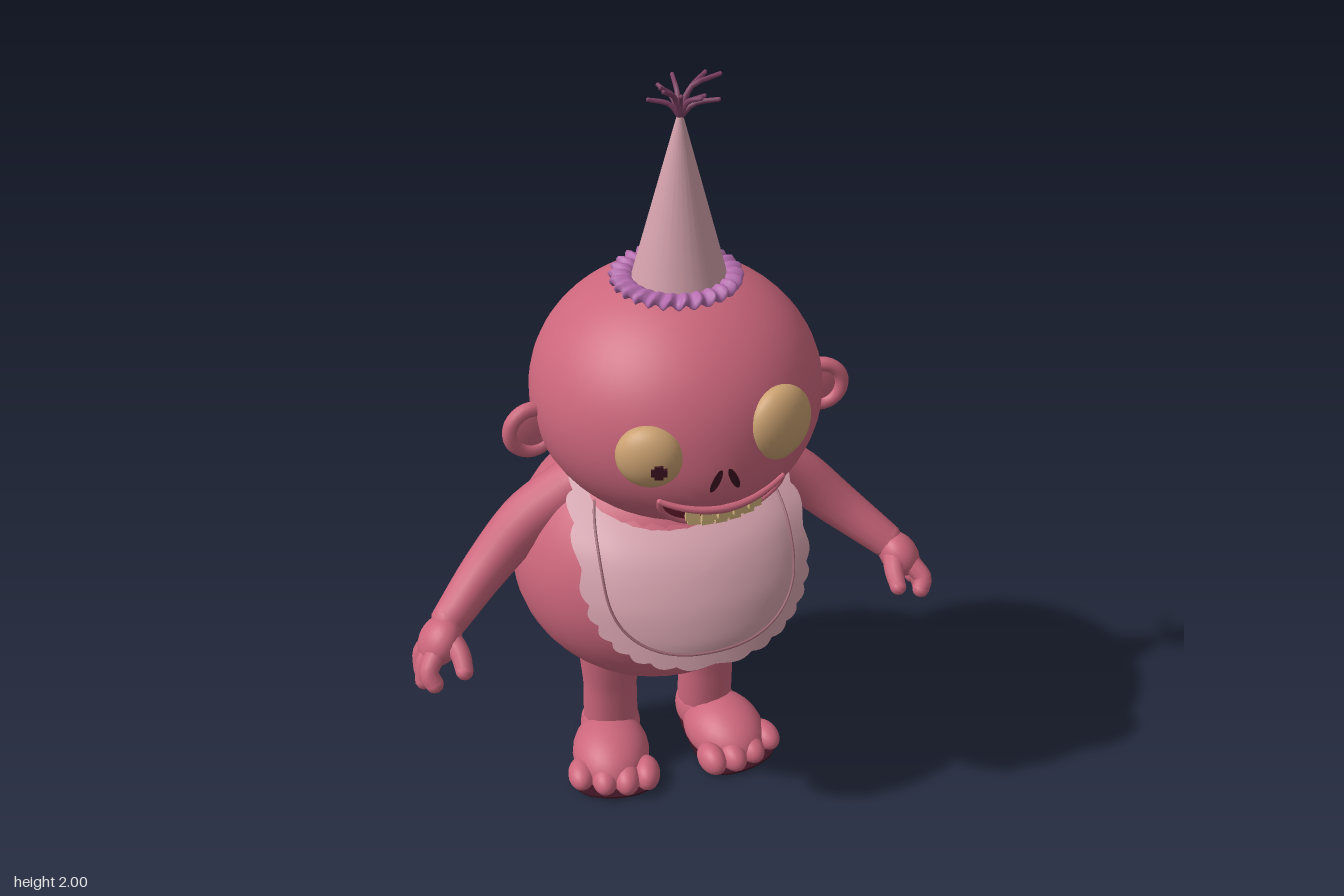
import * as THREE from 'three';
import { mergeVertices } from 'three/addons/utils/BufferGeometryUtils.js';

const mat = (name, color, side = THREE.FrontSide) => {
  const m = new THREE.MeshStandardMaterial({ color, side });
  m.name = name;
  return m;
};
const V = (p) => new THREE.Vector3(...p);

// Front surface of the head, with a slight muzzle bulge
const HEAD = { y: 1.243, z: 0.055, rx: 0.35, ry: 0.308, rz: 0.352 };
const bulge = (x, y) => 0.024 * Math.exp(-(x * x) / 0.03 - (y - 1.12) ** 2 / 0.012);
const headZ = (x, y) => {
  const k = 1 - (x / HEAD.rx) ** 2 - ((y - HEAD.y) / HEAD.ry) ** 2;
  return HEAD.z + HEAD.rz * Math.sqrt(Math.max(k, 0)) + bulge(x, y);
};

// Move every vertex by a rule that edits the vector in place
function warp(geo, rule) {
  const p = geo.attributes.position, v = new THREE.Vector3();
  for (let i = 0; i < p.count; i++) {
    v.fromBufferAttribute(p, i);
    rule(v, i);
    p.setXYZ(i, v.x, v.y, v.z);
  }
  geo.deleteAttribute('uv');
  geo.deleteAttribute('normal');
  const out = mergeVertices(geo, 1e-5);
  out.computeVertexNormals();
  return out;
}

export function createModel() {
  const root = new THREE.Group();
  root.name = 'partyCreature';
  const skin = mat('skinPink', 0xcc667c);
  const cloth = mat('palePink', 0xd3a0ab, THREE.DoubleSide);
  const seamMat = mat('seamPink', 0x9c6673);
  const purple = mat('rufflePurple', 0xb56cae);
  const plum = mat('tuftPlum', 0x7d3f63);
  const eyeMat = mat('eyeTan', 0xcaa070);
  const toothMat = mat('toothCream', 0xd6b67c);
  const mouthMat = mat('mouthRed', 0x7a2238, THREE.DoubleSide);
  const dark = mat('darkMaroon', 0x3c1220, THREE.DoubleSide);

  const add = (name, geo, m, parent = root) => {
    const mesh = new THREE.Mesh(geo, m);
    mesh.name = name;
    parent.add(mesh);
    return mesh;
  };
  const group = (name) => {
    const g = new THREE.Group();
    g.name = name;
    root.add(g);
    return g;
  };
  const ball = (name, pos, size, m, parent, seg = 24) => {
    const mesh = add(name, new THREE.SphereGeometry(1, seg, Math.ceil(seg * 0.7)), m, parent);
    mesh.position.set(...pos);
    mesh.scale.set(...size);
    return mesh;
  };
  // Tapered tube with rounded ends
  const limb = (name, pts, radii, m, parent, n = 16, sides = 14) => {
    const curve = new THREE.CatmullRomCurve3(pts.map(V));
    const geo = new THREE.TubeGeometry(curve, n, 1, sides);
    const mesh = add(name, warp(geo, (v, i) => {
      const t = Math.floor(i / (sides + 1)) / n;
      const f = t * (radii.length - 1), k = Math.min(Math.floor(f), radii.length - 2);
      const c = curve.getPointAt(t);
      v.sub(c).multiplyScalar(THREE.MathUtils.lerp(radii[k], radii[k + 1], f - k)).add(c);
    }), m, parent);
    for (const i of [0, pts.length - 1]) {
      const r = radii[i ? radii.length - 1 : 0];
      ball(name + 'End', pts[i], [r, r, r], m, parent, sides);
    }
    return mesh;
  };

  // Body and head
  ball('body', [-0.013, 0.69, -0.065], [0.383, 0.352, 0.355], skin, root, 40);
  ball('shoulders', [-0.01, 0.8, -0.07], [0.325, 0.265, 0.305], skin, root, 32);
  add('head', warp(new THREE.SphereGeometry(1, 48, 36), (v) => {
    v.set(v.x * HEAD.rx, v.y * HEAD.ry + HEAD.y, v.z * HEAD.rz + HEAD.z);
    if (v.z > HEAD.z) v.z += bulge(v.x, v.y);
  }), skin);

  // Eyes and the one small pupil
  for (const [name, x, y, r, ry] of [['rightEye', -0.152, 1.255, 0.078, 0.077], ['leftEye', 0.15, 1.285, 0.087, 0.093]]) {
    const e = ball(name, [x, y, headZ(x, y) - 0.016], [r, ry, 0.05], eyeMat, root, 28);
    e.rotation.y = Math.sign(x) * 0.35;
  }
  for (let i = 0; i < 2; i++) {
    const bar = add('pupil', new THREE.BoxGeometry(i ? 0.02 : 0.036, i ? 0.034 : 0.018, 0.009), dark);
    bar.position.set(-0.147, 1.243, headZ(-0.147, 1.243) + 0.034);
    bar.rotation.y = -0.3;
  }

  // Nostrils
  for (const s of [-1, 1]) {
    add('nostril', warp(new THREE.CircleGeometry(1, 16), (v) => {
      const y = v.y * 0.028;
      v.x = 0.004 + s * 0.021 + v.x * 0.01 - s * y * 0.4;
      v.y = 1.2 + y;
      v.z = headZ(v.x, v.y) + 0.004;
    }), dark);
  }

  // Grinning mouth: edges given by u from -1 to 1
  const mx = (u) => 0.015 + 0.15 * u;
  const top = (u) => 1.108 + 0.03 * u * u;
  const low = (u) => 1.138 - 0.1 * Math.sqrt(Math.max(0, 1 - u * u));
  add('mouth', warp(new THREE.PlaneGeometry(2, 1, 28, 6), (v) => {
    const u = v.x, t = v.y + 0.5;
    v.set(mx(u), THREE.MathUtils.lerp(low(u), Math.max(top(u), low(u)), t), 0);
    v.z = headZ(v.x, v.y) + 0.004;
  }), mouthMat);
  for (const [name, edge, off] of [['upperLip', top, 0.004], ['lowerLip', low, 0.004]]) {
    const pts = [];
    for (let i = 0; i <= 20; i++) {
      const u = -Math.cos(Math.PI * i / 20);
      pts.push([mx(u), edge(u), headZ(mx(u), edge(u)) + off]);
    }
    limb(name, pts, [0.007, 0.011, 0.007], skin, root, 40, 8);
  }
  const teeth = group('teeth');
  for (let row = 0; row < 2; row++) {
    for (let i = 0; i < 5; i++) {
      const u = (i - 2) * (row ? 0.22 : 0.25), x = mx(u);
      const y = row ? low(u) + 0.023 : top(u) - 0.018;
      const t = add('tooth', new THREE.BoxGeometry(row ? 0.029 : 0.033, 0.03, 0.02), toothMat, teeth);
      t.position.set(x, y, headZ(x, y) + 0.002);
      t.rotation.y = x * 2.5;
    }
  }

  // Bib: a scalloped panel draped over the chest
  const drape = new THREE.CatmullRomCurve3(
    [[0, 0.58, 0.372], [0, 0.7, 0.345], [0, 0.78, 0.318], [0, 0.88, 0.25], [0, 0.97, 0.11], [0, 1.03, 0.02]].map(V));
  const drapePts = drape.getPoints(60);
  const bibZ = (x, y) => {
    const i = drapePts.findIndex((p) => p.y >= y);
    if (i < 1) return drapePts[i < 0 ? 60 : 0].z - 1.15 * x * x;
    const a = drapePts[i - 1], b = drapePts[i];
    return THREE.MathUtils.lerp(a.z, b.z, (y - a.y) / (b.y - a.y)) - 1.15 * x * x;
  };
  const bibPoint = (a, r, size, off) => {
    const c = Math.cos(a), s = Math.sin(a), q = (k) => Math.sign(k) * Math.abs(k) ** 0.72;
    const x = 0.01 + r * size * 0.288 * q(c);
    const y = Math.min(1.0, 0.845 + r * size * 0.228 * q(s));
    return new THREE.Vector3(x, y, bibZ(x, y) + off);
  };
  const bib = group('bib');
  for (const [name, size, wave, off] of [['bibFrill', 1, 0.045, 0], ['bibPanel', 0.85, 0, 0.008]]) {
    add(name, warp(new THREE.RingGeometry(0.001, 1, 168, 12), (v) => {
      const a = Math.atan2(v.y, v.x), r = v.length();
      v.copy(bibPoint(a, r * (1 + wave * r ** 6 * Math.abs(Math.sin(a * 14))), size, off * (1 - r ** 8)));
    }), cloth, bib);
  }
  const seam = [];
  for (let i = 0; i <= 40; i++) seam.push(bibPoint(Math.PI * (0.84 + 1.32 * i / 40), 1, 0.85, 0.002));
  add('bibSeam', new THREE.TubeGeometry(new THREE.CatmullRomCurve3(seam), 80, 0.0035, 6), seamMat, bib);

  // Party hat: cone, gathered ruffle and tuft
  const hat = group('partyHat');
  const cone = add('hatCone', new THREE.CylinderGeometry(0.004, 0.115, 0.41, 32, 1, true), cloth, hat);
  cone.position.set(0.004, 1.725, 0.07);
  add('hatRuffle', warp(new THREE.TorusGeometry(0.125, 0.026, 10, 144).rotateX(Math.PI / 2), (v) => {
    const a = Math.atan2(v.z, v.x), r = Math.hypot(v.x, v.z), t = (r - 0.099) / 0.052;
    const k = 1 + 0.035 * t * Math.sin(a * 26);
    v.set(v.x * k - 0.003, 1.535 + v.y * 0.55 + 0.009 * t * Math.sin(a * 26 + 1), v.z * k + 0.065);
  }), purple, hat);
  for (let i = 0; i < 10; i++) {
    const a = i * 2.4, l = 0.055 + 0.014 * (i % 3), h = 0.035 + 0.012 * ((i * 3) % 4);
    const c = Math.cos(a) * l, s = Math.sin(a) * l;
    limb('tuftStrand', [[0.004, 1.915, 0.07], [0.004 + c * 0.35, 1.925 + h * 0.6, 0.07 + s * 0.35],
      [0.004 + c, 1.922 + h, 0.07 + s]], [0.007, 0.006, 0.005], plum, hat, 6, 6);
  }
  limb('tuftStrand', [[0.004, 1.915, 0.07], [0.03, 1.975, 0.06], [0.1, 1.995, 0.05]], [0.007, 0.005], plum, hat, 6, 6);

  for (const s of [-1, 1]) {
    const side = s > 0 ? 'left' : 'right';
    const M = (x, y, z) => [s * x, y, z];

    // Ear: disc with a rolled rim
    const ear = group(side + 'Ear');
    ball('earDisc', M(0.365, 1.195, 0.08), [0.06, 0.064, 0.014], skin, ear);
    const rim = add('earRim', new THREE.TorusGeometry(0.055, 0.018, 10, 28), skin, ear);
    rim.position.set(...M(0.36, 1.195, 0.083));
    rim.rotation.y = -s * 0.15;

    // Arm and hand
    const arm = group(side + 'Arm');
    limb('arm', [M(0.22, 0.945, -0.04), M(0.36, 0.85, -0.045), M(0.48, 0.74, -0.015), M(0.59, 0.65, 0.05)],
      [0.072, 0.07, 0.06, 0.047], skin, arm);
    const palm = ball('palm', M(0.622, 0.615, 0.078), [0.05, 0.068, 0.065], skin, arm);
    palm.rotation.z = s * 0.6;
    const tips = [[0.672, 0.53, 0.075], [0.675, 0.53, 0.118], [0.655, 0.55, 0.163]];
    tips.forEach((t, i) => limb('finger', [M(0.635, 0.61, 0.06 + i * 0.025),
      M(0.665, 0.575, t[2] - 0.015), M(...t)], [0.027, 0.025, 0.023], skin, arm, 8, 10));
    limb('thumb', [M(0.6, 0.63, 0.09), M(0.582, 0.61, 0.14), M(0.58, 0.585, 0.178)],
      [0.03, 0.026, 0.022], skin, arm, 8, 10);

    // Leg and splayed foot with toes
    const leg = group(side + 'Leg');
    limb('leg', [M(0.142, 0.48, -0.1), M(0.142, 0.3, -0.1), M(0.14, 0.09, -0.11)],
      [0.092, 0.087, 0.076, 0.078], skin, leg);
    const foot = (x, y, z, rx, ry, rz, name) => add(name, warp(new THREE.SphereGeometry(1, 24, 18), (v) => {
      const yaw = 0.2 * s, px = v.x * rx, pz = v.z * rz;
      v.set(s * x + px * Math.cos(yaw) + pz * Math.sin(yaw), Math.max(0.006, y + v.y * ry),
        z + pz * Math.cos(yaw) - px * Math.sin(yaw));
    }), skin, leg);
    foot(0.142, 0.045, -0.108, 0.085, 0.09, 0.09, 'heel');
    foot(0.167, 0.03, -0.01, 0.108, 0.088, 0.14, 'instep');
    for (let i = 0; i < 4; i++) {
      const o = i - 1.5;
      foot(0.182 + o * 0.058, 0.03, 0.108 - (i - 0.7) ** 2 * 0.01, 0.037, 0.042 - i * 0.002, 0.055, 'toe');
    }
    const sole = new THREE.Shape(new THREE.SplineCurve([[0.142, -0.19], [0.21, -0.15], [0.245, -0.04], [0.29, 0.05],
      [0.265, 0.115], [0.17, 0.15], [0.085, 0.13], [0.065, 0.03], [0.07, -0.13], [0.142, -0.19]]
      .map(([x, z]) => new THREE.Vector2(s * x, z))).getPoints(40));
    add('sole', new THREE.ExtrudeGeometry(sole, { depth: 0.006, bevelEnabled: false })
      .rotateX(Math.PI / 2).translate(0, 0.006, 0), dark, leg);
  }
  return root;
}
